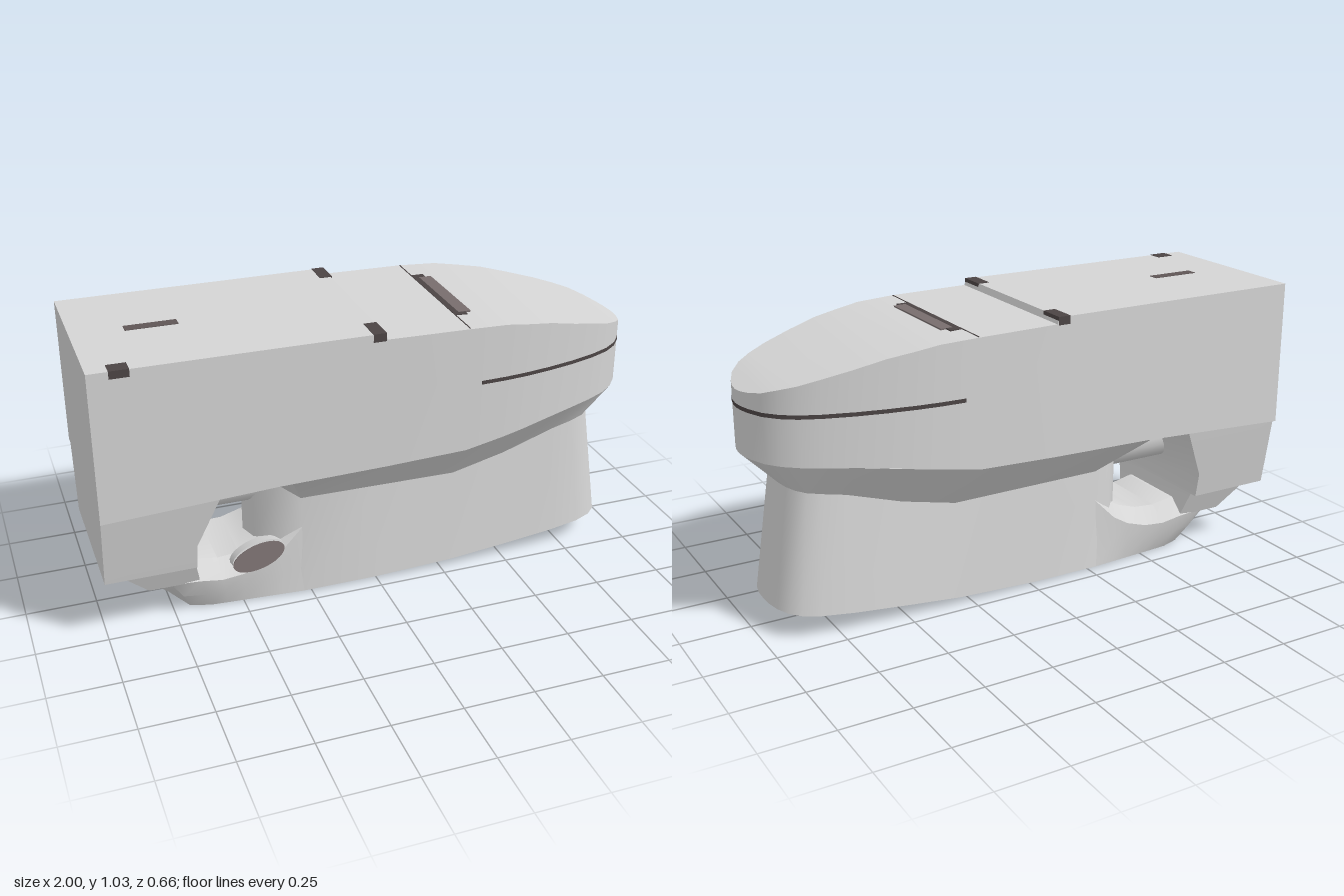
import * as THREE from 'three';
import { toCreasedNormals } from 'three/addons/utils/BufferGeometryUtils.js';

const mat = (name, color) => Object.assign(new THREE.MeshStandardMaterial({ color, side: THREE.DoubleSide }), { name });

// Piecewise-linear rule through [x, value] points
const rule = (pts) => (x) => {
  if (x <= pts[0][0]) return pts[0][1];
  for (let i = 1; i < pts.length; i++) {
    const [x0, v0] = pts[i - 1], [x1, v1] = pts[i];
    if (x <= x1) return v0 + (v1 - v0) * (x - x0) / (x1 - x0);
  }
  return pts[pts.length - 1][1];
};

// Loft symmetric rings, top to bottom; each ring is a half outline of [x, z] with a height rule
function loft(rings, { capTop, capBottom, openFront } = {}) {
  const pos = [], idx = [];
  const n = rings[0].half.length * 2;
  for (const { half, y } of rings) {
    for (const [x, z] of half) pos.push(x, y(x), z);
    for (const [x, z] of [...half].reverse()) pos.push(x, y(x), -z);
  }
  for (let r = 0; r < rings.length - 1; r++) {
    for (let i = 0; i < n; i++) {
      if (openFront && i === n / 2 - 1) continue;
      const j = (i + 1) % n, a = r * n + i, b = r * n + j, c = a + n, d = b + n;
      idx.push(c, d, b, c, b, a);
    }
  }
  const base = (rings.length - 1) * n;
  for (let i = 0; i < n / 2 - 1; i++) {
    const k = n - 1 - i;
    if (capTop) idx.push(i, i + 1, k - 1, i, k - 1, k);
    if (capBottom) idx.push(base + i, base + k - 1, base + i + 1, base + i, base + k, base + k - 1);
  }
  const g = new THREE.BufferGeometry();
  g.setAttribute('position', new THREE.Float32BufferAttribute(pos, 3));
  g.setIndex(idx);
  return toCreasedNormals(g, 0.6);
}

export function createModel() {
  const group = new THREE.Group();
  const ceramic = mat('ceramic grey', 0xd4d4d4);
  const dark = mat('dark trim', 0x4c4545);
  const slotGrey = mat('slot grey', 0x5f5656);
  const brown = mat('warm grey', 0x776d6d);
  const add = (name, geo, material) => {
    const m = new THREE.Mesh(geo, material);
    m.name = name;
    group.add(m);
    return m;
  };
  const box = (name, x0, x1, y0, y1, z0, z1, material) =>
    add(name, new THREE.BoxGeometry(x1 - x0, y1 - y0, z1 - z0), material)
      .position.set((x0 + x1) / 2, (y0 + y1) / 2, (z0 + z1) / 2);

  // Upper body: straight tank running into a rounded bowl nose
  const nose = [[0.33, 0.328], [0.42, 0.324], [0.5, 0.316], [0.6, 0.3], [0.7, 0.278], [0.8, 0.248],
    [0.87, 0.218], [0.92, 0.182], [0.96, 0.135], [0.985, 0.075], [0.995, 0.035], [0.998, 0]];
  const outline = [[-1, 0.325], [-0.4, 0.326], [-0.025, 0.328], [-0.015, 0.328], [0.28, 0.33], ...nose];
  const topY = rule([[-0.025, 1.033], [-0.015, 1.01], [0.28, 1.006], [0.42, 1], [0.6, 0.972],
    [0.8, 0.922], [0.92, 0.888], [1, 0.855]]);
  const edgeY = rule([[-1, 0.5], [-0.4, 0.53], [0.25, 0.545], [0.45, 0.58], [0.65, 0.615], [0.85, 0.63], [1, 0.635]]);
  add('upperBody', loft([{ half: outline, y: topY }, { half: outline, y: edgeY }], { capTop: true, capBottom: true }), ceramic);

  // Shadow gap under the lid around the nose
  const gap = nose.map(([x, z]) => [x + 0.001, z ? z + 0.0015 : 0]);
  add('lidSeam', loft([{ half: gap, y: () => 0.808 }, { half: gap, y: () => 0.794 }]), dark);

  // Bowl underside tucking into a hollow skirt: rim, waist and floor points per station
  const stations = [
    [-0.45, 0, -0.45, 0, -0.45, 0], [-0.45, 0.31, -0.43, 0.08, -0.43, 0.08],
    [-0.42, 0.325, -0.36, 0.15, -0.36, 0.16], [-0.35, 0.326, -0.28, 0.18, -0.28, 0.2],
    [0, 0.328, 0, 0.18, 0, 0.205], [0.3, 0.328, 0.3, 0.18, 0.3, 0.21],
    [0.5, 0.316, 0.5, 0.176, 0.5, 0.21], [0.7, 0.278, 0.7, 0.172, 0.7, 0.208],
    [0.83, 0.236, 0.78, 0.166, 0.82, 0.198], [0.91, 0.19, 0.83, 0.152, 0.88, 0.178],
    [0.955, 0.14, 0.86, 0.125, 0.915, 0.147], [0.983, 0.08, 0.877, 0.085, 0.937, 0.1],
    [0.995, 0.035, 0.884, 0.04, 0.948, 0.05], [0.998, 0, 0.886, 0, 0.95, 0]];
  const ring = (k, y) => ({ half: stations.map((s) => [s[k], s[k + 1]]), y });
  const waistY = rule([[-0.45, 0.5], [-0.36, 0.44], [-0.28, 0.385], [0.3, 0.38], [0.5, 0.425], [0.72, 0.495], [0.88, 0.522]]);
  const skirtFloorY = rule([[-0.45, 0.18], [-0.36, 0.17], [-0.285, 0.16], [-0.28, 0.01], [0, 0.014],
    [0.3, 0.03], [0.6, 0.06], [0.95, 0.098]]);
  add('bowlUnderside', loft([ring(0, edgeY), ring(2, waistY)]), ceramic);
  add('skirt', loft([ring(2, waistY), ring(4, skirtFloorY)]), ceramic);

  // Hollow rear foot, with a ledge under the side opening
  const ledge = [[-0.84, 0], [-0.83, 0.15], [-0.76, 0.195], [-0.66, 0.21], [-0.58, 0.205], [-0.5, 0.2],
    [-0.42, 0.198], [-0.36, 0.194], [-0.28, 0.188]];
  const sole = [[-0.72, 0], [-0.715, 0.09], [-0.69, 0.14], [-0.62, 0.165], [-0.56, 0.172], [-0.5, 0.178],
    [-0.42, 0.186], [-0.36, 0.192], [-0.28, 0.2]];
  const shin = sole.map(([x, z], i) => [x * 0.6 + ledge[i][0] * 0.4, z * 0.3 + ledge[i][1] * 0.7]);
  const ledgeY = rule([[-0.84, 0.135], [-0.66, 0.14], [-0.58, 0.125], [-0.5, 0.13], [-0.42, 0.155], [-0.36, 0.19], [-0.28, 0.27]]);
  add('rearFoot', loft([
    { half: ledge.map(([x, z]) => [x, z * 0.65]), y: (x) => ledgeY(x) + 0.05 },
    { half: ledge, y: ledgeY },
    { half: shin, y: (x) => 0.07 + Math.max(0, x + 0.5) * 0.2 },
    { half: sole, y: rule([[-0.72, 0.002], [-0.28, 0.01]]) },
  ], { capTop: true, openFront: true }), ceramic);

  // Tapered rear support stepping in above the foot
  const step = (y, x0, x1, z) => ({ half: [[x0, z], [x1, z]], y: () => y });
  add('rearSupport', loft([
    step(0.515, -0.998, -0.6, 0.314), step(0.33, -0.998, -0.68, 0.284), step(0.237, -0.998, -0.68, 0.268),
    step(0.235, -0.94, -0.68, 0.238), step(0.135, -0.84, -0.66, 0.2),
  ], { capBottom: true }), ceramic);

  // Waste pipe bridging the side opening
  const pipe = add('wastePipe', new THREE.CylinderGeometry(0.1, 0.1, 0.32, 24).rotateZ(Math.PI / 2), ceramic);
  pipe.position.set(-0.56, 0.425, 0);

  // Trapway seen inside the hollow skirt
  const trap = [[-0.6, 0.12], [-0.3, 0.145], [-0.25, 0.15], [-0.05, 0.15], [0.1, 0.15], [0.35, 0.15], [0.65, 0.1]];
  add('innerTrapway', loft([
    { half: trap, y: rule([[-0.6, 0.1], [-0.3, 0.12], [-0.25, 0.37], [0.65, 0.38]]) },
    { half: trap, y: rule([[-0.6, 0.04], [-0.05, 0.045], [0.1, 0.1], [0.35, 0.22], [0.65, 0.37]]) },
  ], { capBottom: true }), ceramic);

  // Fixing boss and its cover on the left foot
  const oval = (name, rx, ry, z, depth, material) => {
    const g = new THREE.CylinderGeometry(1, 1, depth, 24).rotateX(Math.PI / 2).scale(rx, ry, 1);
    const m = add(name, g, material);
    m.rotation.set(-0.25, 0, 0.25);
    m.position.set(-0.445, 0.19, z);
  };
  oval('fixingBoss', 0.098, 0.044, 0.172, 0.05, ceramic);
  oval('fixingCover', 0.098, 0.044, 0.2, 0.008, brown);

  // Trim on the tank top
  box('topSlot', -0.82, -0.64, 1.028, 1.035, -0.02, 0.02, slotGrey);
  box('cornerMark', -0.93, -0.865, 1.008, 1.035, 0.275, 0.328, dark);
  for (const s of [-1, 1]) {
    const z0 = s > 0 ? 0.23 : -0.33, z1 = s > 0 ? 0.33 : -0.23;
    box('hingeMark', -0.065, -0.02, 1.006, 1.035, z0, z1, dark);
  }

  // Grip recess and fine joint across the lid
  box('lidJoint', 0.279, 0.282, 1.002, 1.008, -0.325, 0.325, dark);
  box('gripShadow', 0.282, 0.325, 1.001, 1.008, -0.21, 0.2, dark);
  box('gripSlope', 0.3, 0.345, 1.0015, 1.0085, -0.18, 0.18, brown);
  return group;
}
